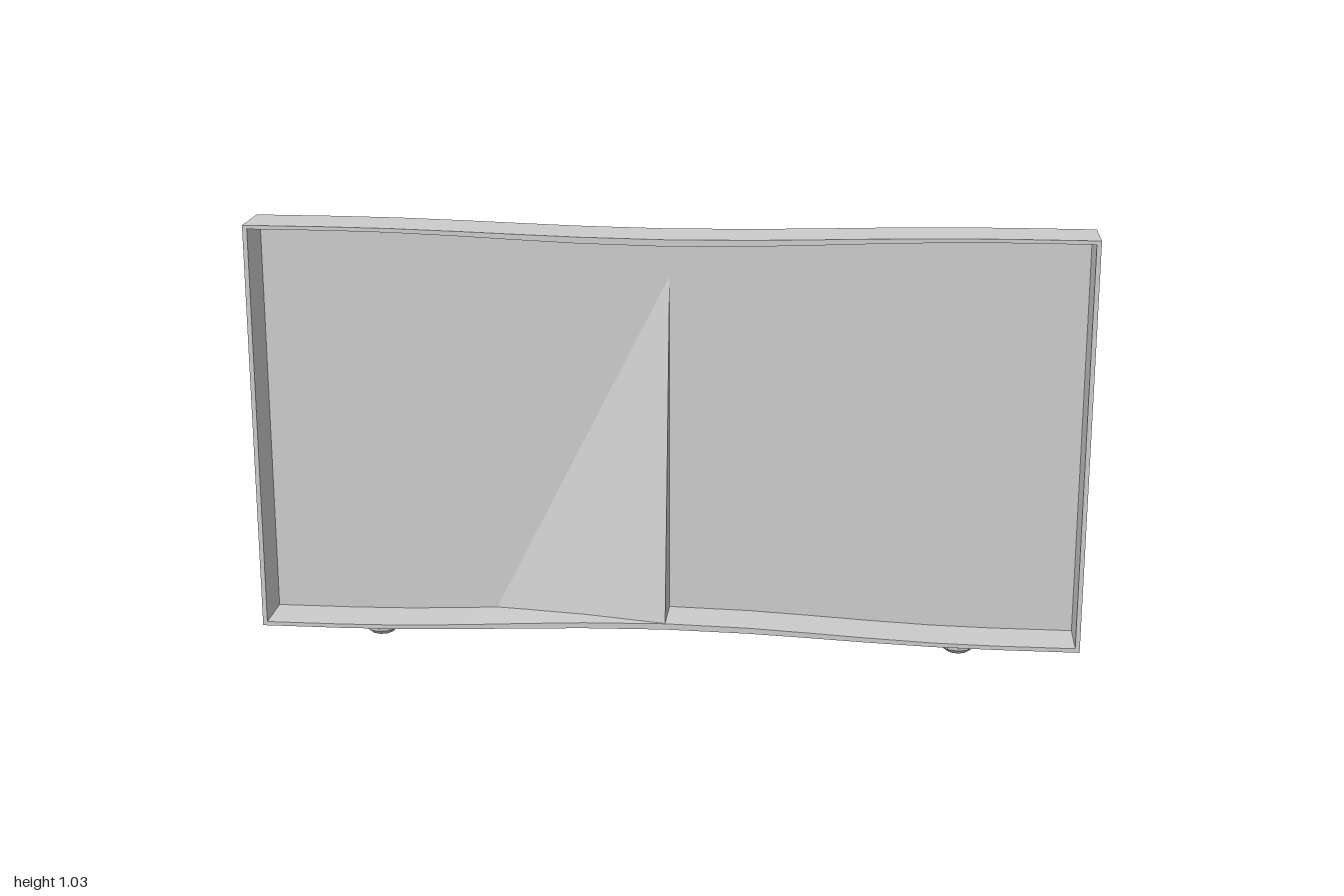
import * as THREE from 'three';

const FRONT = 0.067, BACK = -0.067, PANEL = -0.053; // z planes
const FOLD = 0.49;   // width of the folded-in corner at the bottom
const INNER = 0.989; // half width inside the rim

// gentle pinch of the top and bottom edges towards the middle
const bell = x => Math.abs(x) < 0.8 ? 0.5 + 0.5 * Math.cos(Math.PI * x / 0.8) : 0;
const top = x => 1.027 - 0.016 * bell(x);
const bottom = x => 0.021 + 0.024 * bell(x);
const innerTop = x => 1.018 - 0.023 * bell(x);
const innerBottom = x => 0.031 + 0.029 * bell(x);

const samples = w => [-w, -0.8, -0.65, -FOLD, -0.35, -0.2, 0, 0.2, 0.35, FOLD, 0.65, 0.8, w];

export function createModel() {
  const group = new THREE.Group();
  const grey = new THREE.MeshStandardMaterial({ color: 0xcccccc, side: THREE.DoubleSide });
  grey.name = 'light grey';

  const add = (geometry, name) => {
    const mesh = new THREE.Mesh(geometry, grey);
    mesh.name = name;
    group.add(mesh);
    return mesh;
  };

  // flat-shaded strip between two rows of points
  const strip = (a, b, name) => {
    const p = [];
    for (let i = 0; i < a.length - 1; i++) {
      p.push(...a[i], ...b[i], ...b[i + 1], ...a[i], ...b[i + 1], ...a[i + 1]);
    }
    const g = new THREE.BufferGeometry();
    g.setAttribute('position', new THREE.Float32BufferAttribute(p, 3));
    g.computeVertexNormals();
    return add(g, name);
  };
  const row = (xs, y, z) => xs.map(x => [x, y(x), z]);

  // closed outline of the pinched rectangle
  const outline = (w, lo, hi) => [
    ...samples(w).map(x => new THREE.Vector2(x, lo(x))),
    ...samples(w).reverse().map(x => new THREE.Vector2(x, hi(x))),
  ];
  const face = (shape, z, name, flip) => {
    const g = new THREE.ShapeGeometry(shape);
    if (flip) { // turn the corners round so that it faces backwards
      const index = g.index.array;
      for (let i = 0; i < index.length; i += 3) {
        [index[i], index[i + 1]] = [index[i + 1], index[i]];
      }
      g.computeVertexNormals();
    }
    g.translate(0, 0, z);
    return add(g, name);
  };

  // front rim
  const rim = new THREE.Shape(outline(1, bottom, top));
  rim.holes.push(new THREE.Path(outline(INNER, innerBottom, innerTop)));
  face(rim, FRONT, 'frontRim');

  // back skin, cut away where the corner folds in
  const backPoints = [];
  const apex = [0, 0.998, BACK];
  for (const p of outline(1, bottom, top)) {
    const onFold = p.y < 0.5 && p.x > -FOLD && p.x < 0;
    if (onFold) continue;
    if (p.y < 0.5 && p.x === 0) backPoints.push(new THREE.Vector2(apex[0], apex[1]));
    backPoints.push(p);
  }
  face(new THREE.Shape(backPoints), BACK, 'backSkin', true);

  // recessed panel inside the tray, also seen through the cut from behind
  face(new THREE.Shape(outline(INNER, innerBottom, innerTop)), PANEL, 'innerPanel');

  // outer and inner edges
  const xs = samples(1), ins = samples(INNER);
  strip(row(xs, top, BACK), row(xs, top, FRONT), 'topEdge');
  strip(row(ins, innerTop, FRONT), row(ins, innerTop, PANEL), 'innerTopEdge');
  strip(row(ins, innerBottom, BACK + 0.014), row(ins, innerBottom, FRONT), 'innerFloor');
  for (const s of [-1, 1]) {
    const side = (x, lo, hi, z0, z1, name) => strip(
      [[x, lo(x), z0], [x, lo(x), z1]], [[x, hi(x), z0], [x, hi(x), z1]], name);
    const [a, b] = s > 0 ? [FRONT, BACK] : [BACK, FRONT];
    side(s, bottom, top, b, a, s > 0 ? 'leftSide' : 'rightSide');
    side(s * INNER, innerBottom, innerTop, s > 0 ? PANEL : FRONT, s > 0 ? FRONT : PANEL,
      s > 0 ? 'innerLeftSide' : 'innerRightSide');
  }

  // underside, tapering to the front along the fold
  const foldZ = x => BACK + (FRONT - BACK) * (1 + x / FOLD);
  const foldXs = xs.filter(x => x >= -FOLD && x <= 0);
  const under = (list, z, name) => strip(
    row(list, bottom, FRONT), list.map(x => [x, bottom(x), z(x)]), name);
  under(xs.filter(x => x <= -FOLD), () => BACK, 'undersideRight');
  under(foldXs, foldZ, 'undersideFold');
  under(xs.filter(x => x >= 0), () => BACK, 'undersideLeft');

  // folded-in corner: sloping face and upright wall
  const foldEdge = foldXs.map(x => [x, bottom(x), foldZ(x)]);
  const slope = [];
  for (let i = 0; i < foldEdge.length - 1; i++) slope.push(...foldEdge[i], ...foldEdge[i + 1], ...apex);
  slope.push(...foldEdge[foldEdge.length - 1], 0, bottom(0), BACK, ...apex);
  const fold = new THREE.BufferGeometry();
  fold.setAttribute('position', new THREE.Float32BufferAttribute(slope, 3));
  fold.computeVertexNormals();
  add(fold, 'foldedCorner');

  // feet
  for (const x of [-0.71, 0.71]) {
    const profile = [[0, 0], [0.028, 0], [0.042, 0.012], [0.042, 0.024]];
    const g = new THREE.LatheGeometry(profile.map(p => new THREE.Vector2(...p)), 10).toNonIndexed();
    g.computeVertexNormals();
    add(g, x > 0 ? 'leftFoot' : 'rightFoot').position.set(x, 0, 0.018);
  }
  return group;
}
